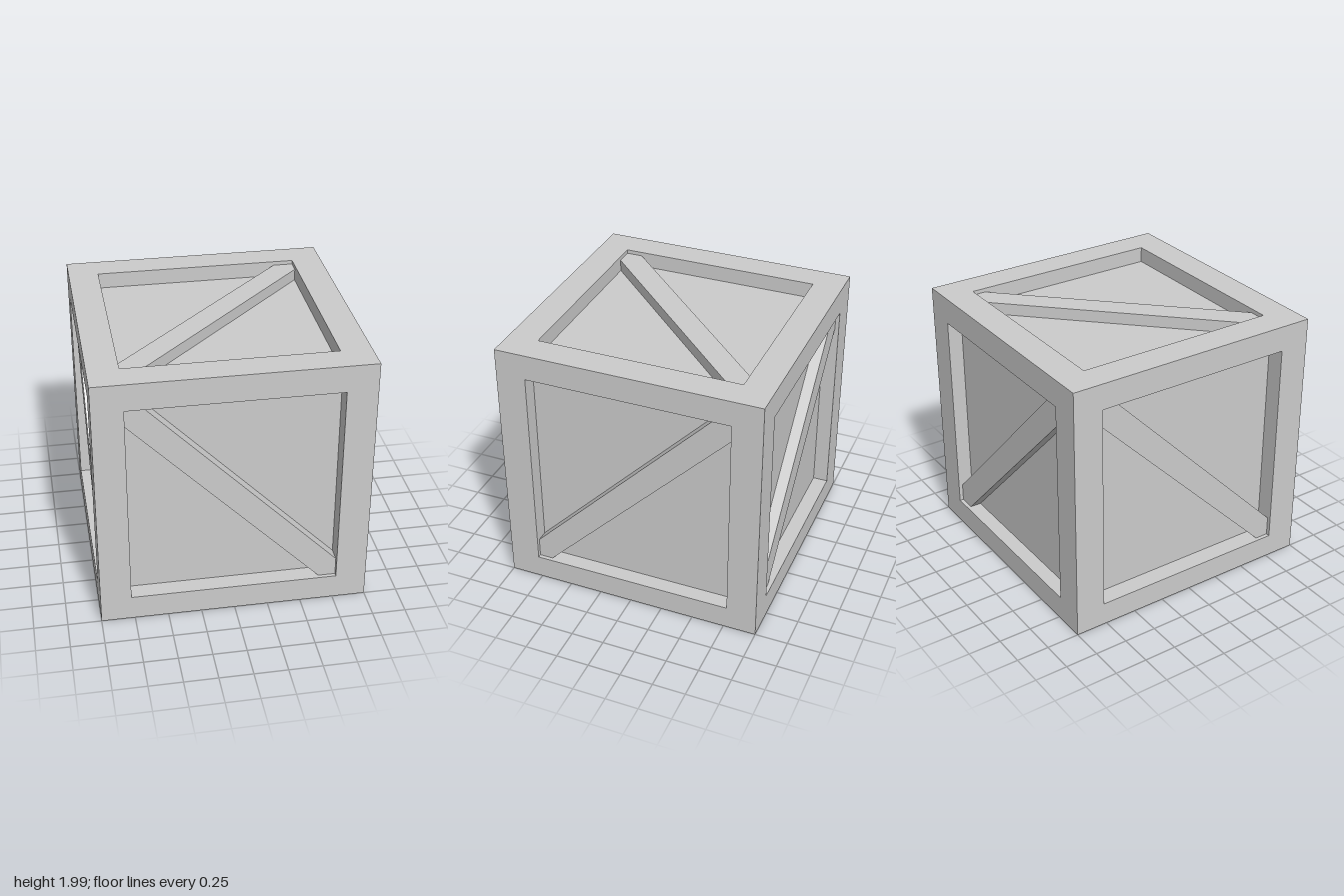
import * as THREE from 'three';

const H = 1.985, OPEN = 0.772, POST = 1 - OPEN;

export function createModel() {
  const crate = new THREE.Group();
  crate.name = 'crate';
  const mat = new THREE.MeshStandardMaterial({ color: 0xcccccc, flatShading: true });

  const add = (name, geo) => {
    const mesh = new THREE.Mesh(geo, mat);
    mesh.name = name;
    crate.add(mesh);
    return mesh;
  };
  // Box given by its low and high corners
  const box = (name, a, b) => add(name, new THREE.BoxGeometry(b[0] - a[0], b[1] - a[1], b[2] - a[2])
    .translate((a[0] + b[0]) / 2, (a[1] + b[1]) / 2, (a[2] + b[2]) / 2));

  // Recessed panels: the faces of one inner box
  const lo = [-0.86, 0.12, -0.885], hi = [0.88, H - 0.12, 0.865];
  box('panels', lo, hi);

  // Corner posts
  for (const x of [-1, OPEN]) for (const z of [-1, OPEN])
    box('cornerPost', [x, 0, z], [x + POST, H, z + POST]);

  // Rails along x (front and back) and along z (left and right)
  for (const s of [-1, OPEN]) {
    box('bottomRail', [-OPEN, 0, s], [OPEN, 0.19, s + POST]);
    box('topRail', [-OPEN, 1.78, s], [OPEN, H, s + POST]);
    box('bottomSideRail', [s, 0, -OPEN], [s + POST, 0.18, OPEN]);
    box('topSideRail', [s, 1.79, -OPEN], [s + POST, H, OPEN]);
  }

  // Diagonal brace filling two opposite corners of a w x h opening,
  // extruded from depth z0 to z1; n holds the cut lengths at each corner
  const brace = (w, h, n, z0, z1) => {
    const pts = [[-w, -h], [-w + n[0], -h], [w, h - n[1]], [w, h], [w - n[2], h], [-w, -h + n[3]]];
    const shape = new THREE.Shape(pts.map(([x, y]) => new THREE.Vector2(x, y)));
    return new THREE.ExtrudeGeometry(shape, { depth: z1 - z0, bevelEnabled: false }).translate(0, 0, z0);
  };
  const inset = 0.03, out = 1 - inset, sink = 0.02;

  // Front and back: falling towards +x
  const falling = [0.13, 0.14, 0.13, 0.14];
  for (const [name, z0, z1] of [['frontBrace', hi[2] - sink, out], ['backBrace', -out, lo[2] + sink]])
    add(name, brace(OPEN, 0.795, falling, z0, z1).rotateY(Math.PI).translate(0, 0.985, z0 + z1));

  // Sides: rising towards the back
  for (const [name, z0, z1] of [['leftBrace', hi[0] - sink, out], ['rightBrace', -out, lo[0] + sink]])
    add(name, brace(OPEN, 0.805, [0.105, 0.14, 0.13, 0.15], z0, z1).rotateY(Math.PI / 2).translate(0, 0.985, 0));

  // Top and bottom: from the front at -x to the back at +x
  for (const [name, z0, z1] of [['topBrace', hi[1] - sink, H - inset], ['bottomBrace', inset, lo[1] + sink]])
    add(name, brace(OPEN, OPEN, [0.135, 0.105, 0.15, 0.125], z0, z1).rotateX(-Math.PI / 2));

  return crate;
}
